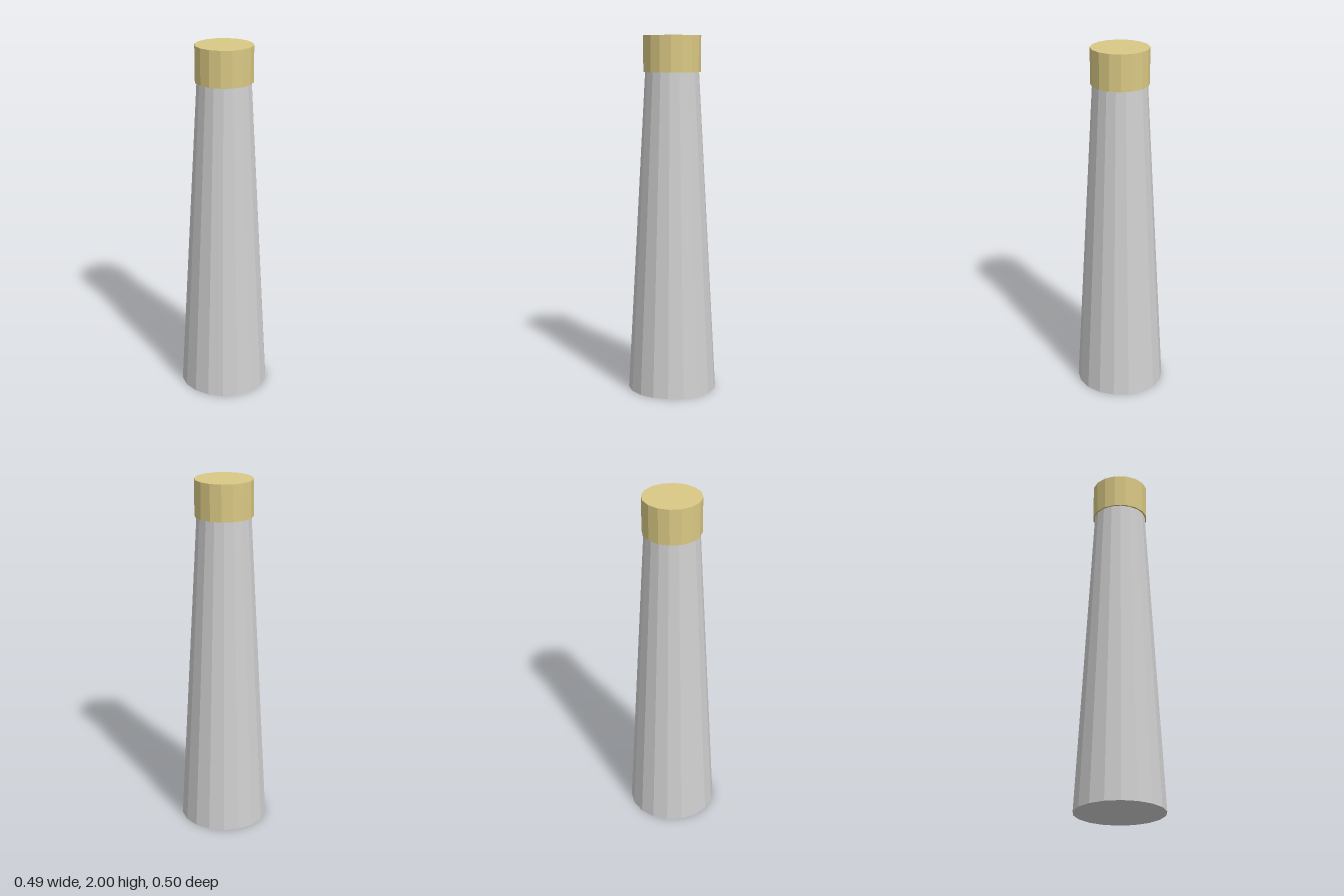
import * as THREE from 'three';

export function createModel() {
  const group = new THREE.Group();
  const gray = new THREE.MeshStandardMaterial({ color: 0xd0d0d0, flatShading: true });
  gray.name = 'light gray';
  const gold = new THREE.MeshStandardMaterial({ color: 0xd9c884, flatShading: true });
  gold.name = 'pale gold';

  // A faceted round section standing between two heights
  const section = (name, topRadius, bottomRadius, y0, y1, sides, material) => {
    const geometry = new THREE.CylinderGeometry(topRadius, bottomRadius, y1 - y0, sides);
    const mesh = new THREE.Mesh(geometry, material);
    mesh.name = name;
    mesh.position.y = (y0 + y1) / 2;
    group.add(mesh);
  };

  // Tapered shaft and the slightly wider cap on it
  section('shaft', 0.15, 0.25, 0, 1.8, 18, gray);
  section('cap', 0.16, 0.16, 1.8, 2, 16, gold);

  return group;
}
